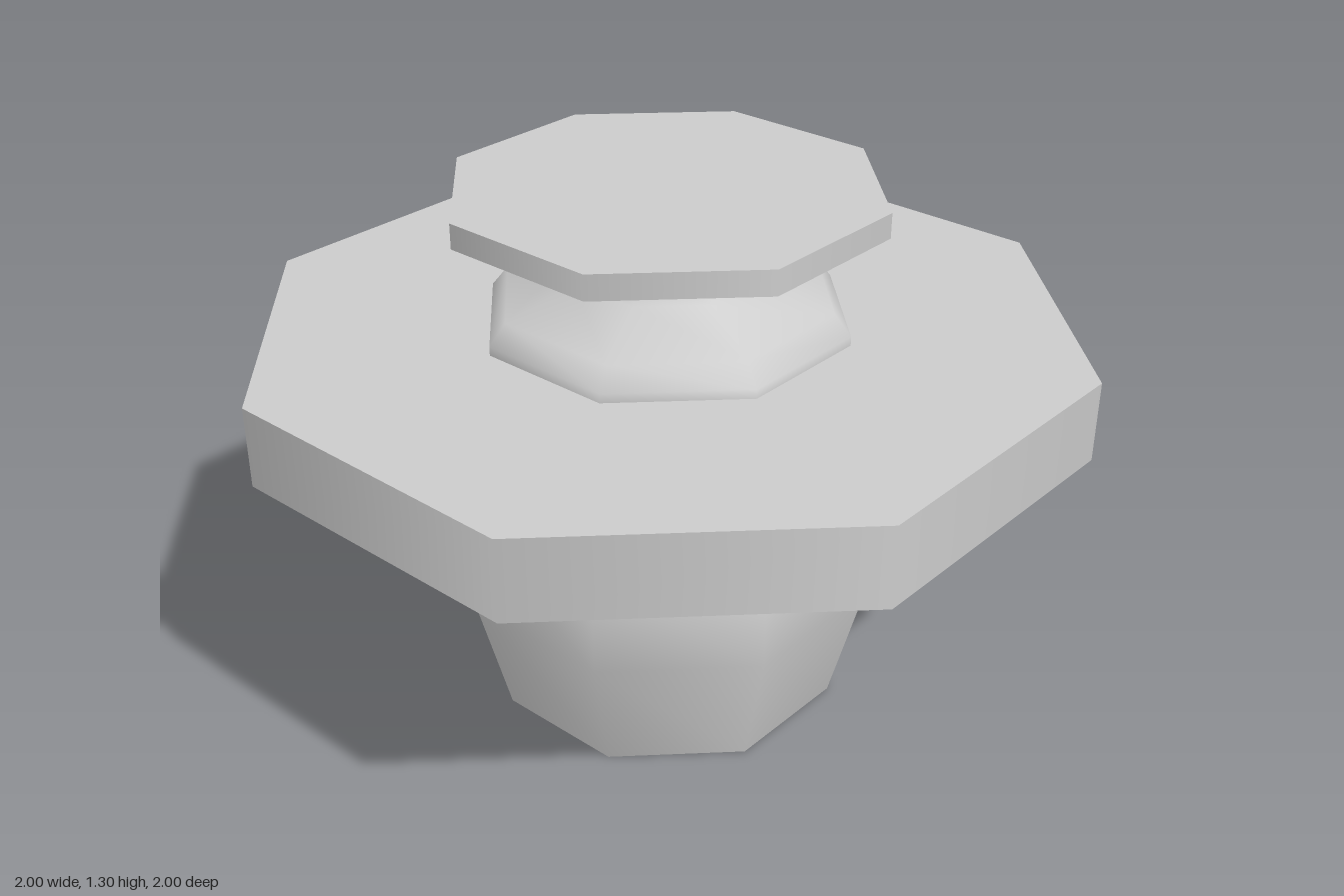
import * as THREE from 'three';

const SIDES = 8;

export function createModel() {
  const model = new THREE.Group();
  const material = new THREE.MeshStandardMaterial({ color: 0xcccccc });

  const add = (name, geometry, y, parent = model) => {
    const mesh = new THREE.Mesh(geometry, material);
    mesh.name = name;
    mesh.position.y = y;
    parent.add(mesh);
    return mesh;
  };

  // Eight-sided disc or post standing between two heights
  const prism = (name, radius, bottom, top) =>
    add(name, new THREE.CylinderGeometry(radius, radius, top - bottom, SIDES), (bottom + top) / 2);

  // Smooth eight-sided turned form with flat end caps; profile runs bottom to top
  const turned = (name, profile) => {
    const group = new THREE.Group();
    group.name = name;
    model.add(group);
    const points = profile.map(([r, y]) => new THREE.Vector2(r, y));
    add(name + 'Wall', new THREE.LatheGeometry(points, SIDES), 0, group);
    const [r0, y0] = profile[0];
    const [r1, y1] = profile[profile.length - 1];
    add(name + 'Bottom', new THREE.CircleGeometry(r0, SIDES).rotateX(Math.PI / 2), y0, group);
    add(name + 'Top', new THREE.CircleGeometry(r1, SIDES).rotateX(-Math.PI / 2), y1, group);
  };

  // Rounded lower body
  turned('body', [[0.43, 0], [0.51, 0.31], [0.51, 0.55], [0.35, 0.785]]);

  // Wide flange
  prism('flange', 1, 0.78, 0.973);

  // Domed shoulder above the flange
  turned('shoulder', [[0.44, 0.965], [0.44, 0.995], [0.4, 1.045], [0.23, 1.105], [0.2, 1.167]]);

  // Thin neck and top plate
  prism('neck', 0.11, 1.16, 1.25);
  prism('topPlate', 0.515, 1.245, 1.305);

  return model;
}
